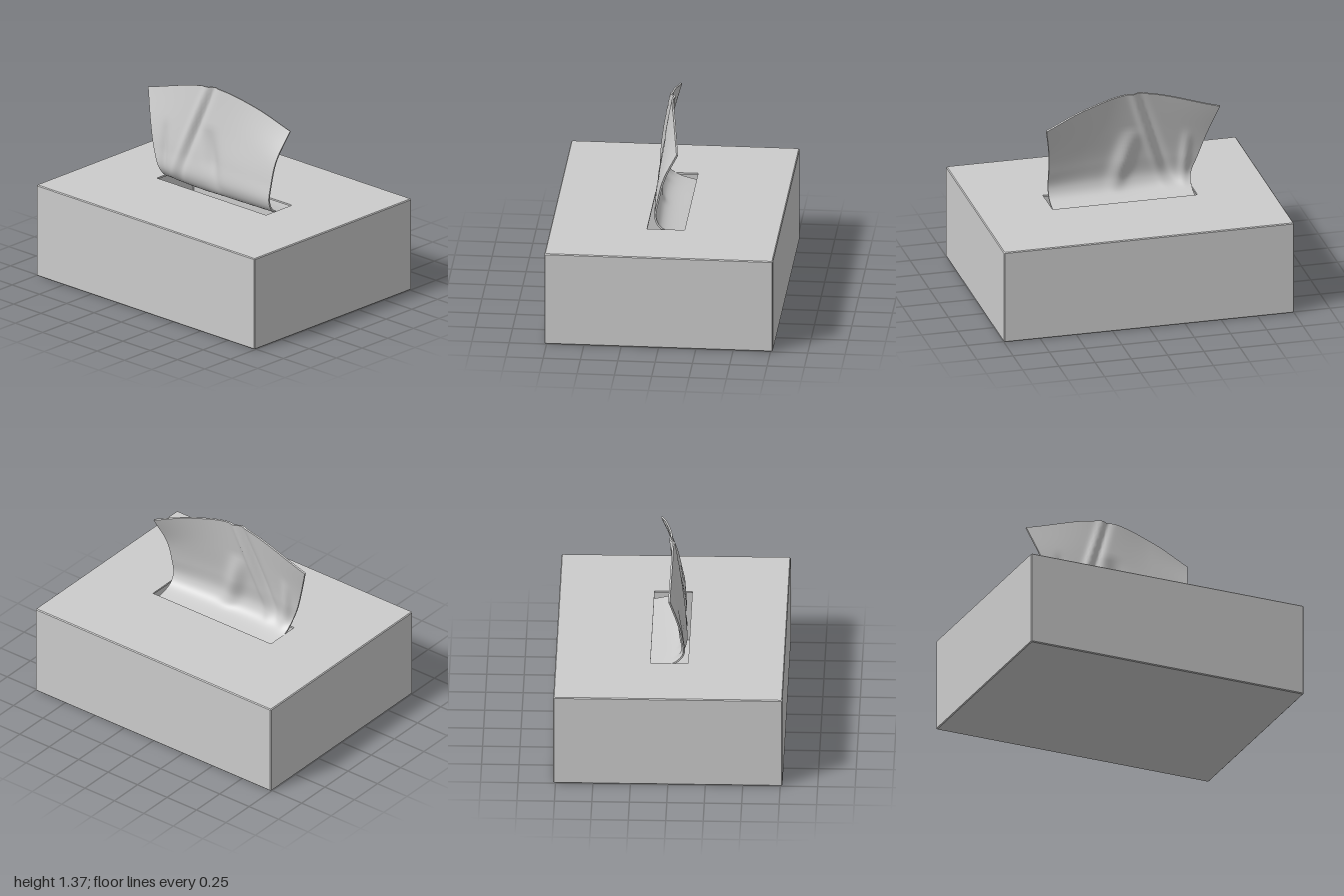
import * as THREE from 'three';

const grey = new THREE.MeshStandardMaterial({ color: 0xcccccc, side: THREE.DoubleSide });

// Rectangle with small chamfered corners, counter-clockwise seen from above
function ring(hx, hz, y, zc = 0, chamfer = 0.006) {
  const c = Math.min(chamfer, hx, hz);
  return [
    [hx, -hz + c], [hx - c, -hz], [-hx + c, -hz], [-hx, -hz + c],
    [-hx, hz - c], [-hx + c, hz], [hx - c, hz], [hx, hz - c],
  ].map(([x, z]) => new THREE.Vector3(x, y, z + zc));
}

// Flat-shaded skin through a list of rings
function loft(rings) {
  const pts = [];
  for (let r = 0; r < rings.length - 1; r++) {
    const a = rings[r], b = rings[r + 1], n = a.length;
    for (let i = 0; i < n; i++) {
      const j = (i + 1) % n;
      pts.push(a[i], a[j], b[j], a[i], b[j], b[i]);
    }
  }
  const geometry = new THREE.BufferGeometry().setFromPoints(pts);
  geometry.computeVertexNormals();
  return geometry;
}

// Hollow carton: outside, slot edge, then the inside down to the floor
function makeBox() {
  const hx = 1, hz = 0.765, h = 0.65, b = 0.006, wall = 0.012;
  return loft([
    ring(0, 0, 0), ring(hx - b, hz - b, 0), ring(hx, hz, b), ring(hx, hz, h - b), ring(hx - b, hz - b, h),
    ring(0.5, 0.126, h, -0.004, 0.001), ring(0.5, 0.126, h - wall, -0.004, 0.001),
    ring(hx - wall, hz - wall, h - wall), ring(hx - wall, hz - wall, wall), ring(0, 0, wall),
  ]);
}

// Guide curves of the tissue, from inside the box up to the free edge
const guides = [
  [[-0.5, 0.58, -0.25], [-0.5, 0.6, -0.12], [-0.5, 0.65, 0.03], [-0.51, 0.72, 0.09],
    [-0.56, 0.85, 0.085], [-0.61, 1.0, 0.06], [-0.69, 1.22, 0]],
  [[-0.2, 0.58, -0.25], [-0.2, 0.6, -0.12], [-0.2, 0.65, 0.05], [-0.19, 0.73, 0.098],
    [-0.17, 0.88, 0.085], [-0.15, 1.1, 0.05], [-0.11, 1.37, 0.005]],
  [[0.18, 0.58, -0.25], [0.18, 0.6, -0.12], [0.18, 0.65, 0.04], [0.18, 0.73, 0.085],
    [0.19, 0.87, 0.07], [0.21, 1.07, 0.025], [0.24, 1.31, -0.04]],
  [[0.48, 0.58, -0.25], [0.48, 0.6, -0.12], [0.48, 0.65, 0.03], [0.48, 0.72, 0.068],
    [0.48, 0.84, 0.05], [0.49, 1.0, 0.01], [0.53, 1.2, -0.083]],
].map((g) => new THREE.CatmullRomCurve3(g.map((p) => new THREE.Vector3(...p))));

// Soft folds: base x, lean, width, depth, top height
const folds = [
  [-0.37, 0.36, 0.03, 0.02, 1.6],
  [-0.3, 0.32, 0.03, -0.022, 1.6],
  [-0.46, -0.05, 0.03, -0.02, 1.05],
  [0.0, -0.25, 0.06, -0.035, 1.1],
];

function tissueGrid(nu, nv) {
  const grid = [];
  for (let j = 0; j <= nv; j++) {
    const across = new THREE.CatmullRomCurve3(guides.map((g) => g.getPoint(j / nv)));
    const row = [];
    for (let i = 0; i <= nu; i++) {
      const p = across.getPoint(i / nu);
      for (const [x0, lean, width, depth, top] of folds) {
        const t = THREE.MathUtils.clamp((p.y - 0.63) / (top - 0.63), 0, 1);
        const d = (p.x - x0 - lean * (p.y - 0.72)) / width;
        p.z += depth * Math.exp(-d * d) * Math.sin(Math.PI * t);
      }
      row.push(p);
    }
    grid.push(row);
  }
  return grid;
}

// Thin smooth sheet: two offset faces joined by a rim
function makeTissue() {
  const nu = 72, nv = 48, half = 0.006;
  const grid = tissueGrid(nu, nv);
  const points = [], index = [];
  const offset = (i, j, s) => {
    const du = grid[j][Math.min(i + 1, nu)].clone().sub(grid[j][Math.max(i - 1, 0)]);
    const dv = grid[Math.min(j + 1, nv)][i].clone().sub(grid[Math.max(j - 1, 0)][i]);
    return grid[j][i].clone().addScaledVector(du.cross(dv).normalize(), s * half);
  };
  for (const s of [1, -1]) {
    const base = points.length;
    for (let j = 0; j <= nv; j++) for (let i = 0; i <= nu; i++) points.push(offset(i, j, s));
    for (let j = 0; j < nv; j++) for (let i = 0; i < nu; i++) {
      const a = base + j * (nu + 1) + i, b = a + 1, c = b + nu + 1, d = a + nu + 1;
      if (s > 0) index.push(a, b, c, a, c, d);
      else index.push(a, c, b, a, d, c);
    }
  }
  // Rim with its own vertices so the edge stays sharp
  const border = [];
  for (let i = 0; i < nu; i++) border.push([i, 0]);
  for (let j = 0; j < nv; j++) border.push([nu, j]);
  for (let i = nu; i > 0; i--) border.push([i, nv]);
  for (let j = nv; j > 0; j--) border.push([0, j]);
  border.forEach(([i, j], k) => {
    const [i2, j2] = border[(k + 1) % border.length];
    const n = points.length;
    points.push(offset(i, j, -1), offset(i2, j2, -1), offset(i2, j2, 1), offset(i, j, 1));
    index.push(n, n + 1, n + 2, n, n + 2, n + 3);
  });
  const geometry = new THREE.BufferGeometry().setFromPoints(points);
  geometry.setIndex(index);
  geometry.computeVertexNormals();
  return geometry;
}

export function createModel() {
  const group = new THREE.Group();
  group.name = 'tissueBox';
  const add = (name, geometry) => {
    const mesh = new THREE.Mesh(geometry, grey);
    mesh.name = name;
    group.add(mesh);
  };
  add('box', makeBox());
  add('tissue', makeTissue());
  return group;
}
